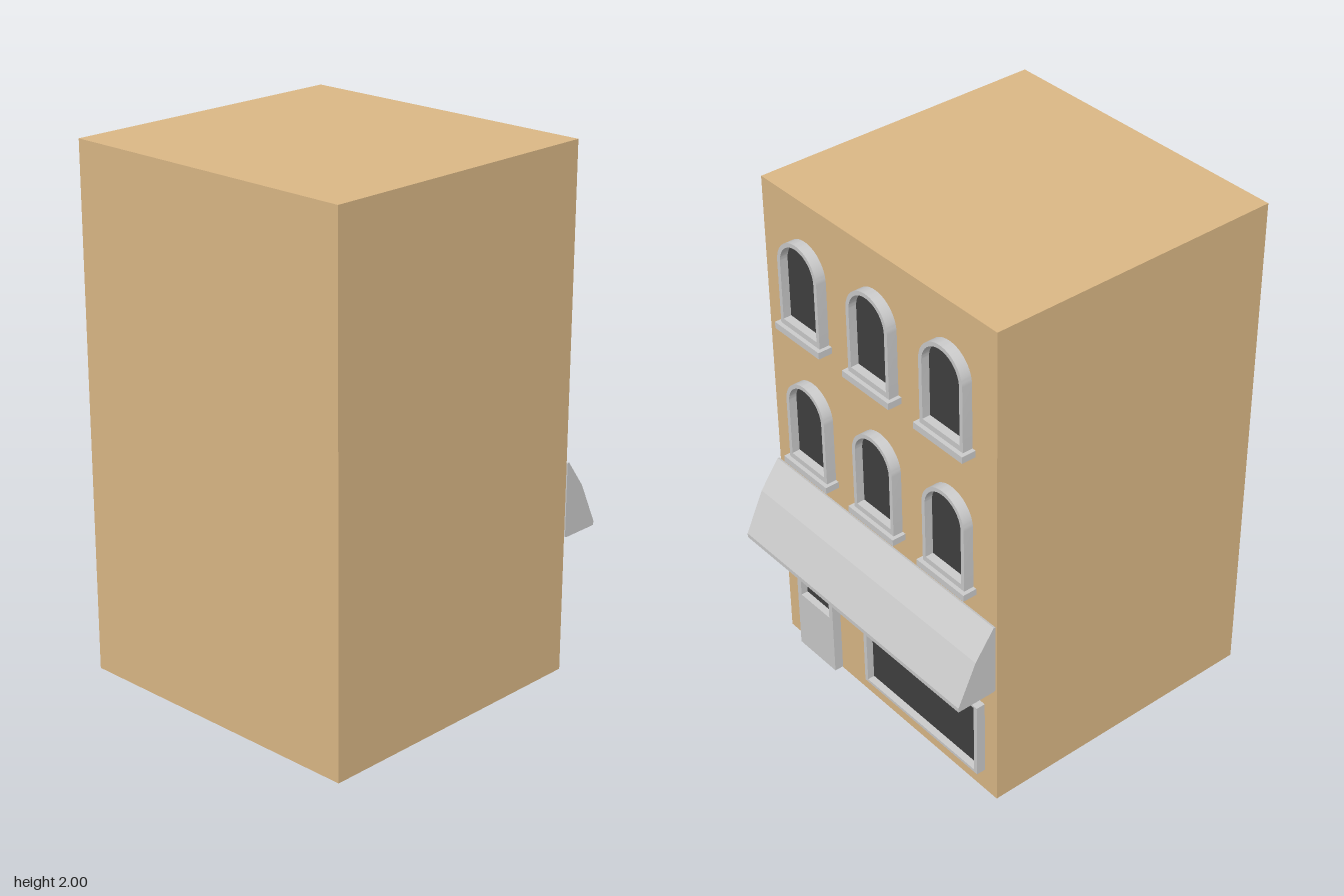
import * as THREE from 'three';
import { toCreasedNormals } from 'three/addons/utils/BufferGeometryUtils.js';

const grey = new THREE.MeshStandardMaterial({ color: 0xcccccc });
const tan = new THREE.MeshStandardMaterial({ color: 0xdbb886 });
const dark = new THREE.MeshStandardMaterial({ color: 0x404040 });

const WALL_X = 0.5;   // plane of the street facade
const HALF_Z = 0.612; // half the building width

function add(parent, name, geometry, material, x = 0, y = 0, z = 0) {
  const mesh = new THREE.Mesh(geometry, material);
  mesh.name = name;
  mesh.position.set(x, y, z);
  parent.add(mesh);
  return mesh;
}

// Outlines, used both for shapes and for holes
function rect(path, x0, x1, y0, y1) {
  path.moveTo(x0, y0);
  path.lineTo(x1, y0);
  path.lineTo(x1, y1);
  path.lineTo(x0, y1);
  path.closePath();
  return path;
}

function arch(path, r, y0, springY) {
  path.moveTo(-r, y0);
  path.lineTo(r, y0);
  path.lineTo(r, springY);
  path.absarc(0, springY, r, 0, Math.PI, false);
  path.closePath();
  return path;
}

function extrude(shape, depth) {
  const g = new THREE.ExtrudeGeometry(shape, { depth, bevelEnabled: false, curveSegments: 24 });
  return toCreasedNormals(g, 0.6);
}

// Surround with a hole, and a dark pane set back inside it
function framed(name, outer, hole, pane, depth) {
  const group = new THREE.Group();
  group.name = name;
  outer.holes.push(hole);
  add(group, name + 'Frame', extrude(outer, depth), grey);
  add(group, name + 'Glass', extrude(pane, 0.008), dark);
  return group;
}

// Arched window with its sill; y = 0 is the top of the sill
function archedWindow() {
  const group = framed('window',
    arch(new THREE.Shape(), 0.11, 0, 0.25),
    arch(new THREE.Path(), 0.094, 0.022, 0.25),
    arch(new THREE.Shape(), 0.094, 0.022, 0.25), 0.04);
  add(group, 'windowSill', new THREE.BoxGeometry(0.25, 0.026, 0.056), grey, 0, -0.013, 0.028);
  return group;
}

export function createModel() {
  const model = new THREE.Group();
  model.name = 'shopBuilding';

  // Main block
  add(model, 'building', new THREE.BoxGeometry(1.17, 2, HALF_Z * 2), tan, WALL_X - 0.585, 1, 0);

  // Facade group: local x runs along the wall, local z points out of it
  const facade = new THREE.Group();
  facade.name = 'facade';
  facade.position.x = WALL_X;
  facade.rotation.y = Math.PI / 2;
  model.add(facade);

  // Two rows of three arched windows
  for (const y of [0.91, 1.49]) {
    for (const x of [-0.38, 0, 0.38]) {
      const win = archedWindow();
      win.position.set(x, y, 0);
      facade.add(win);
    }
  }

  // Door with a small pane near the top
  facade.add(framed('door',
    rect(new THREE.Shape(), -0.504, -0.288, 0.004, 0.44),
    rect(new THREE.Path(), -0.482, -0.309, 0.255, 0.42),
    rect(new THREE.Shape(), -0.482, -0.309, 0.255, 0.42), 0.036));

  // Wide shop window
  facade.add(framed('shopWindow',
    rect(new THREE.Shape(), -0.098, 0.547, 0.094, 0.412),
    rect(new THREE.Path(), -0.081, 0.53, 0.106, 0.404),
    rect(new THREE.Shape(), -0.081, 0.53, 0.106, 0.404), 0.036));

  // Awning: bent profile drawn out over the full width
  const profile = new THREE.Shape([
    [0.506, 0.528], [0.515, 0.525], [0.67, 0.525], [0.67, 0.542],
    [0.594, 0.705], [0.514, 0.816], [0.506, 0.814],
  ].map(([x, y]) => new THREE.Vector2(x, y)));
  const awning = new THREE.ExtrudeGeometry(profile, { depth: HALF_Z * 2, bevelEnabled: false });
  add(model, 'awning', awning, grey, 0, 0, -HALF_Z);

  return model;
}
